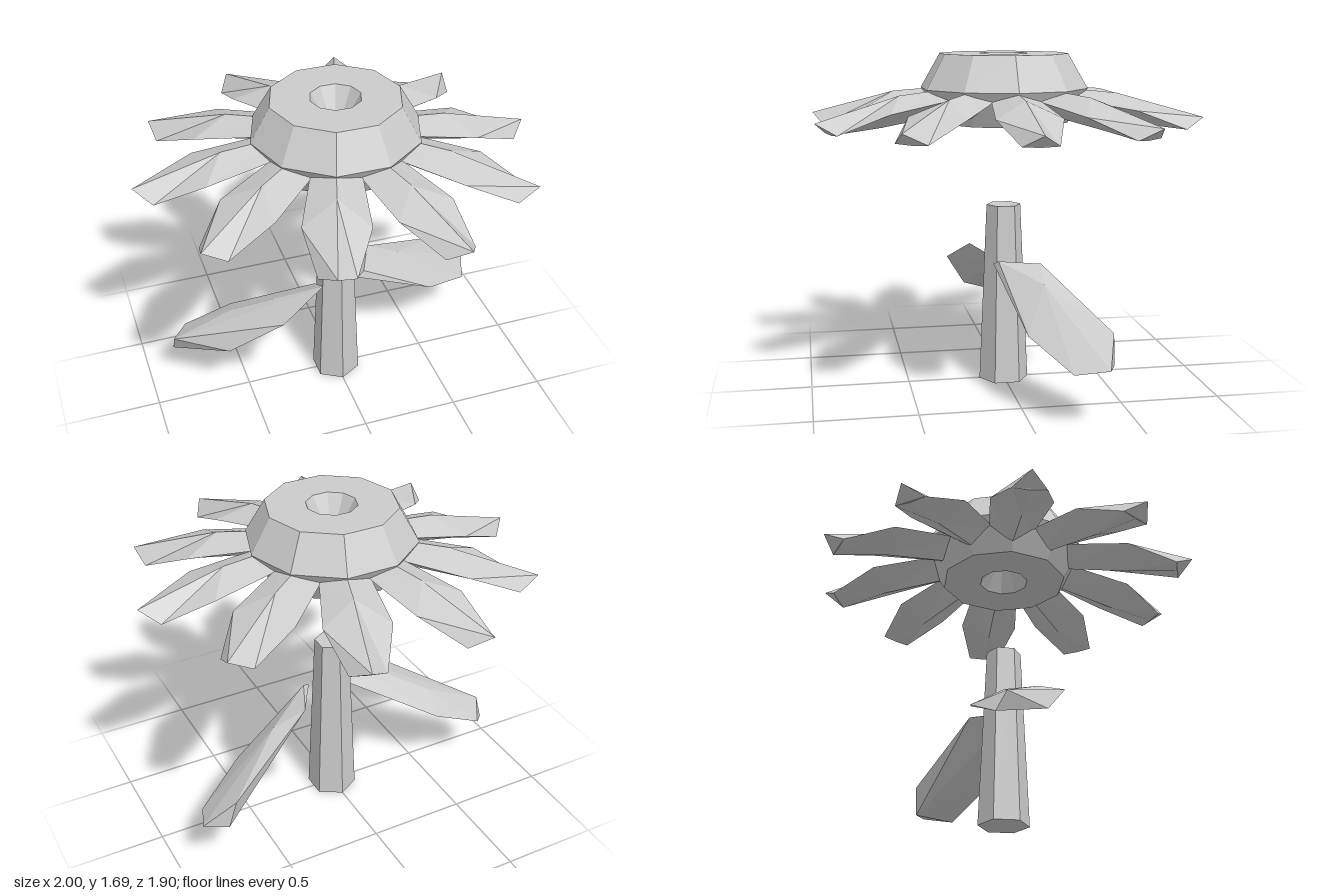
import * as THREE from 'three';
import { ConvexGeometry } from 'three/addons/geometries/ConvexGeometry.js';

const material = new THREE.MeshStandardMaterial({ color: 0xcccccc, flatShading: true });

// Faceted petal pointing along +x, drooping from root to end corners.
// Each section holds four points: left, top, right, bottom.
function petalGeometry() {
  const section = (x, half, side, topX, top, bottomX, bottom) => [
    [x, side, -half], [topX, top, 0], [x, side, half], [bottomX, bottom, 0],
  ];
  const loops = [
    section(0.3, 0.115, 1.49, 0.3, 1.53, 0.28, 1.41),
    section(0.68, 0.157, 1.43, 0.57, 1.505, 0.66, 1.355),
    section(0.92, 0.085, 1.335, 1.0, 1.39, 0.918, 1.33),
  ];
  const pos = [];
  const tri = (a, b, c) => pos.push(...a, ...b, ...c);
  for (let i = 0; i < loops.length - 1; i++) {
    for (let j = 0; j < 4; j++) {
      const k = (j + 1) % 4;
      const a = loops[i][j], b = loops[i][k], c = loops[i + 1][k], d = loops[i + 1][j];
      tri(a, b, d);
      tri(b, c, d);
    }
  }
  // root cap and pointed end cap
  const [l, t, r, b] = loops[0];
  tri(l, r, t);
  tri(l, b, r);
  const [L, T, R, B] = loops[2];
  tri(L, T, R);
  tri(L, R, B);
  const g = new THREE.BufferGeometry();
  g.setAttribute('position', new THREE.Float32BufferAttribute(pos, 3));
  g.computeVertexNormals();
  return g;
}

// Chunky faceted leaf: the hull of its corner points.
function leaf(name, corners) {
  const mesh = new THREE.Mesh(new ConvexGeometry(corners.map((p) => new THREE.Vector3(...p))), material);
  mesh.name = name;
  return mesh;
}

export function createModel() {
  const model = new THREE.Group();
  model.name = 'flower';

  // tapered six-sided stem
  const stem = new THREE.Mesh(new THREE.CylinderGeometry(0.088, 0.128, 0.925, 6), material);
  stem.name = 'stem';
  stem.position.y = 0.4675;
  model.add(stem);

  // ring-shaped flower centre with a pinched hole
  const centre = new THREE.Mesh(new THREE.TorusGeometry(0.226, 0.199, 6, 10).rotateX(Math.PI / 2), material);
  centre.name = 'flowerCentre';
  centre.position.y = 1.526;
  model.add(centre);

  // ten drooping petals
  const petalShape = petalGeometry();
  const petals = new THREE.Group();
  petals.name = 'petals';
  for (let i = 0; i < 10; i++) {
    const petal = new THREE.Mesh(petalShape, material);
    petal.name = 'petal';
    petal.rotation.y = (i * Math.PI) / 5;
    petals.add(petal);
  }
  model.add(petals);

  // two leaves floating beside the stem, each twisted differently
  model.add(leaf('leftLeaf', [
    [0.1, 0.64, 0.07], [0.14, 0.66, 0.05], [0.23, 0.66, -0.15], // root
    [0.4, 0.595, -0.13], [0.56, 0.385, -0.02], [0.73, 0.43, -0.393], // middle
    [0.77, 0.285, -0.385], [0.83, 0.27, -0.18], [0.89, 0.3, -0.337], // end
  ]));
  model.add(leaf('rightLeaf', [
    [-0.12, 0.705, 0.16], [-0.12, 0.61, 0.01], // root
    [-0.36, 0.585, 0.25], [-0.55, 0.485, -0.07], [-0.53, 0.4, -0.22], [-0.62, 0.37, 0.12], // middle
    [-0.87, 0.34, -0.1], [-0.87, 0.24, -0.15], [-0.78, 0.3, -0.25], // end
  ]));

  return model;
}
